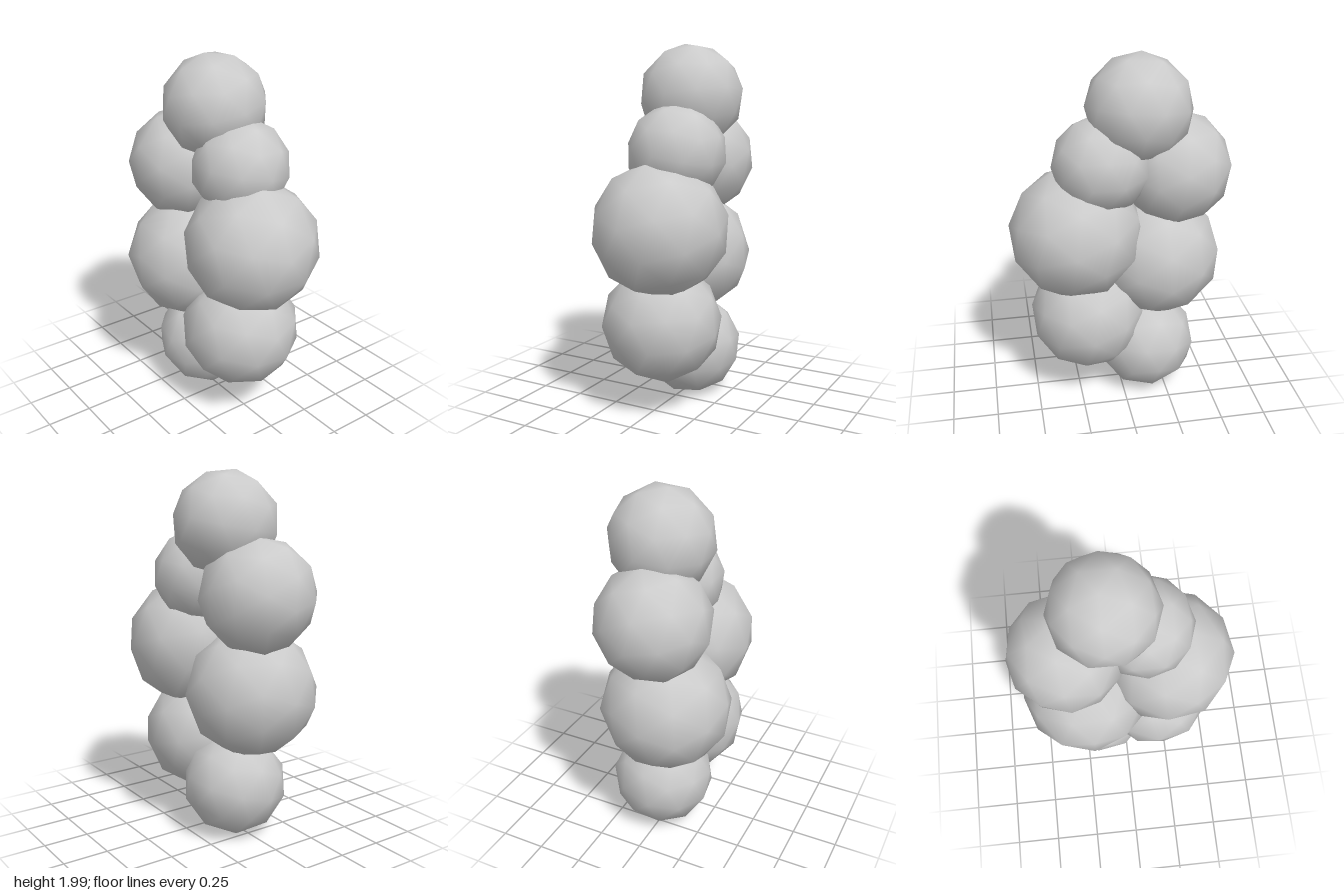
import * as THREE from 'three';

// Each lobe: name, centre, radius, direction one vertex points to
const LOBES = [
  ['topLobe', [-0.095, 1.717, -0.045], 0.288, [-0.02, 0.28, 0.05]],
  ['upperRightLobe', [-0.307, 1.355, 0.01], 0.315, [-0.31, -0.04, 0]],
  ['upperLeftLobe', [0.107, 1.425, -0.065], 0.27, [0, 0.26, -0.05]],
  ['middleLeftLobe', [0.248, 1.03, -0.04], 0.37, [0.365, 0.05, 0.04]],
  ['middleRightLobe', [-0.222, 0.822, 0.038], 0.362, [0.02, 0.08, 0.36]],
  ['lowerLeftLobe', [0.188, 0.503, -0.017], 0.33, [0.32, 0.07, 0]],
  ['bottomLobe', [-0.147, 0.285, -0.02], 0.288, [0.02, -0.28, -0.07]],
];

export function createModel() {
  const group = new THREE.Group();
  group.name = 'lobeCluster';
  const material = new THREE.MeshStandardMaterial({ color: 0xcccccc });
  const vertex = new THREE.Vector3(0, 1, (1 + Math.sqrt(5)) / 2).normalize();

  // Overlapping coarse balls with smooth normals
  for (const [name, centre, radius, tip] of LOBES) {
    const lobe = new THREE.Mesh(new THREE.IcosahedronGeometry(radius, 1), material);
    lobe.name = name;
    lobe.position.set(...centre);
    lobe.quaternion.setFromUnitVectors(vertex, new THREE.Vector3(...tip).normalize());
    group.add(lobe);
  }
  return group;
}
